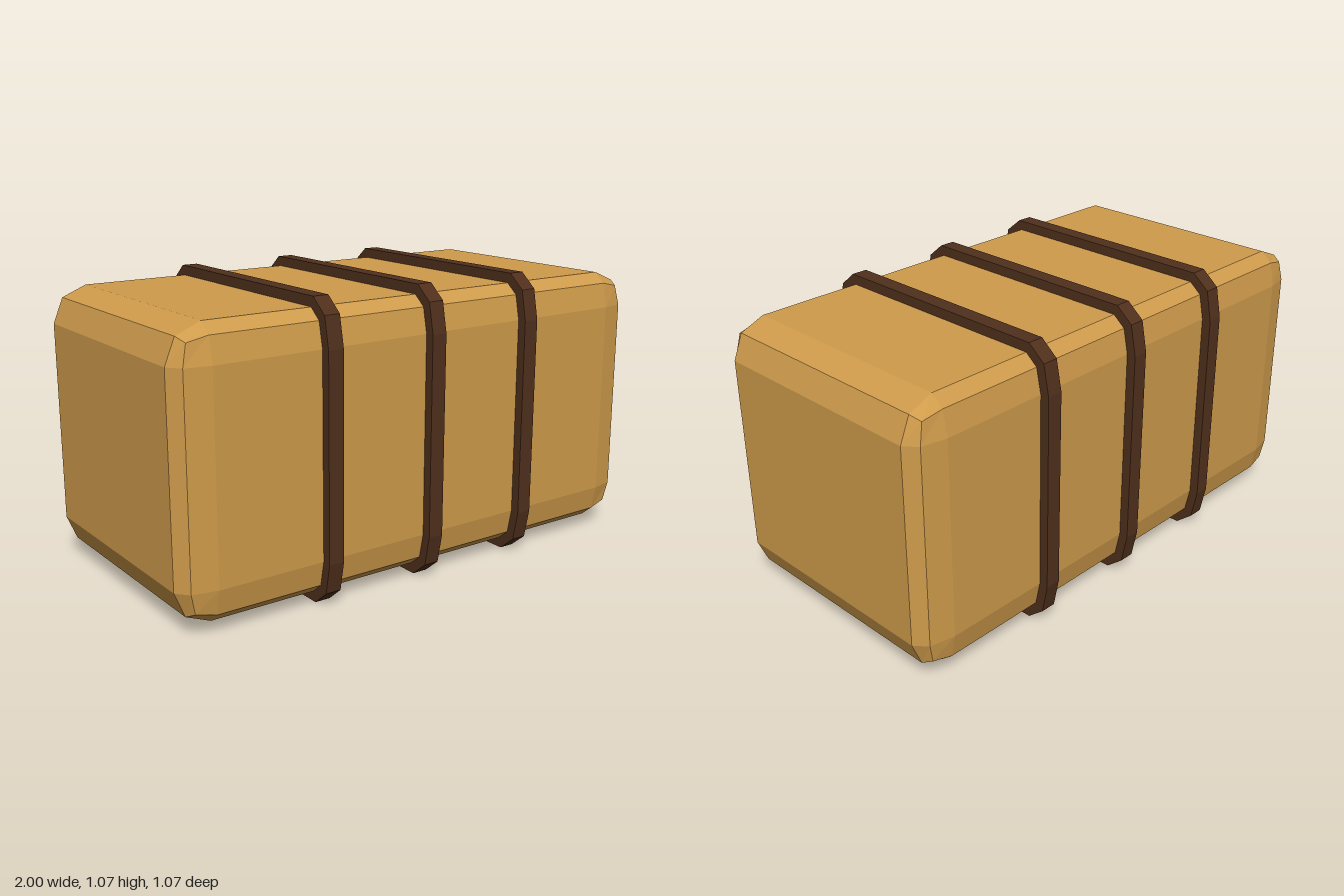
import * as THREE from 'three';
import { RoundedBoxGeometry } from 'three/addons/geometries/RoundedBoxGeometry.js';

const MID_Y = 0.536;
const bodyMaterial = new THREE.MeshStandardMaterial({ color: 0xcf9b4b, flatShading: true });
const strapMaterial = new THREE.MeshStandardMaterial({ color: 0x50301c, flatShading: true });

// Twelve-sided bevelled outline, mirrored from the points of one corner
function outline(corner, Target) {
  const back = [...corner].reverse();
  const points = [
    ...corner.map(([a, b]) => [a, b]),
    ...back.map(([a, b]) => [-a, b]),
    ...corner.map(([a, b]) => [-a, -b]),
    ...back.map(([a, b]) => [a, -b]),
  ];
  return new Target(points.map(([a, b]) => new THREE.Vector2(a, b)));
}

export function createModel() {
  const model = new THREE.Group();
  model.name = 'strappedBale';

  // Bale with two-step bevels, squashed in depth
  const bodyGeometry = new RoundedBoxGeometry(2, 0.998, 2, 1, 0.13);
  bodyGeometry.scale(1, 1, 0.498);
  const body = new THREE.Mesh(bodyGeometry, bodyMaterial);
  body.name = 'bale';
  body.position.y = MID_Y;
  model.add(body);

  // Strap: closed band hugging the bale
  const width = 0.06;
  const shape = outline([[0.533, 0.37], [0.511, 0.482], [0.446, 0.536]], THREE.Shape);
  shape.holes.push(outline([[0.49, 0.365], [0.472, 0.452], [0.43, 0.49]], THREE.Path));
  const strapGeometry = new THREE.ExtrudeGeometry(shape, { depth: width, bevelEnabled: false });
  strapGeometry.translate(0, 0, -width / 2);
  strapGeometry.rotateY(Math.PI / 2);

  [['rightStrap', -0.435], ['middleStrap', 0], ['leftStrap', 0.435]].forEach(([name, x]) => {
    const strap = new THREE.Mesh(strapGeometry, strapMaterial);
    strap.name = name;
    strap.position.set(x, MID_Y, 0);
    model.add(strap);
  });

  return model;
}
